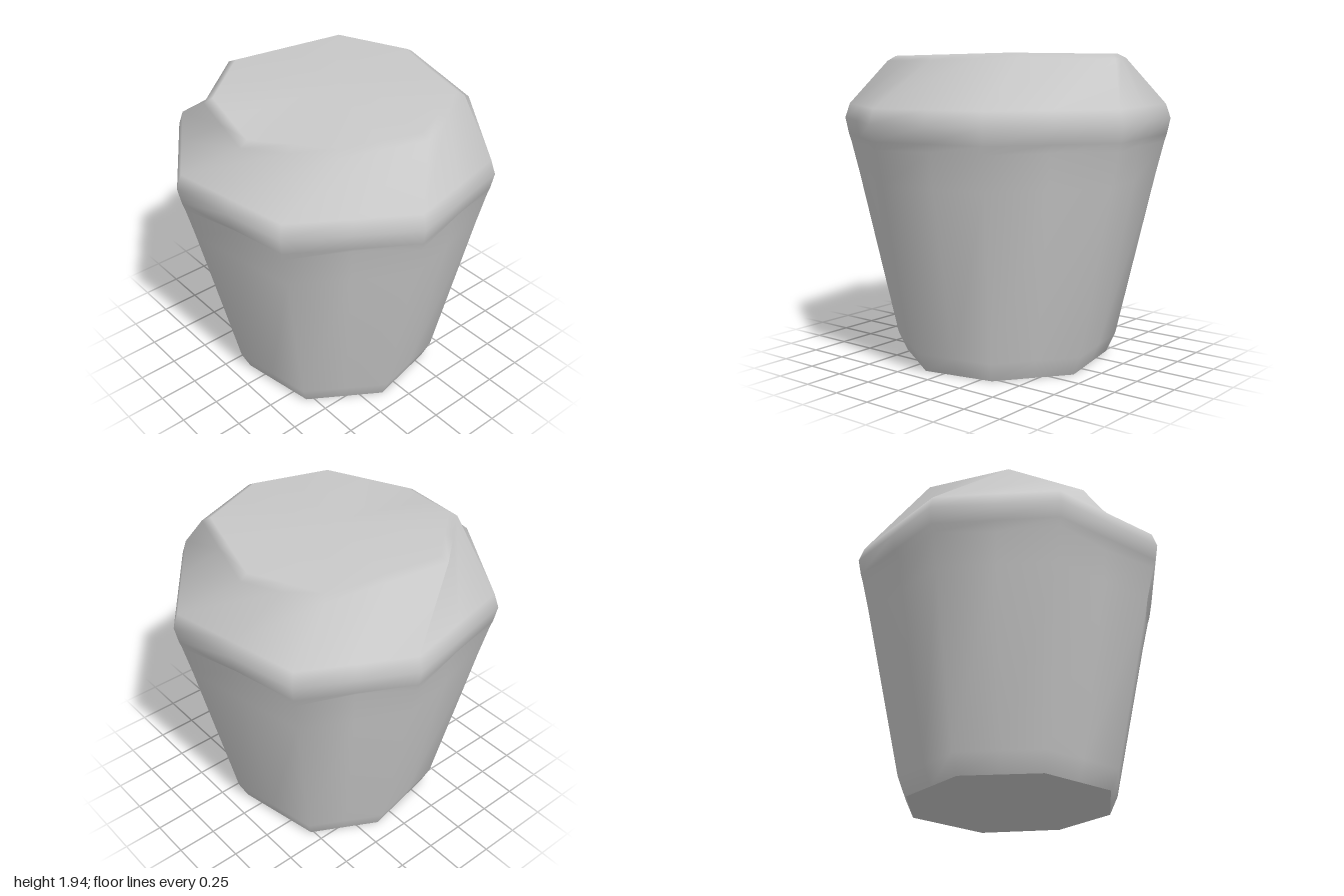
import * as THREE from 'three';

// Corner positions [x, z] of the irregular octagonal rim, and [x, z, y] of the flat top's edge
const RIM = [[1, 0.2], [0.51, 0.85], [-0.2, 1], [-0.86, 0.57], [-1, -0.21], [-0.57, -0.85], [0.2, -1], [0.82, -0.66]];
const TOP = [[0.74, -0.12, 1.9], [0.54, 0.54, 1.91], [0.04, 0.75, 1.89], [-0.46, 0.58, 1.89],
  [-0.76, 0.1, 1.85], [-0.67, -0.38, 1.9], [-0.25, -0.72, 1.91], [0.53, -0.58, 1.91]];

// Turns eight corners into a ring of sixteen points; the face midpoints may be pushed in
function ring(corners, inset = 1) {
  const points = [];
  corners.forEach((a, i) => {
    const b = corners[(i + 1) % corners.length];
    const mid = a.clone().lerp(b, 0.5);
    mid.x *= inset;
    mid.z *= inset;
    points.push(a, mid);
  });
  return points;
}

const rimRing = (scale, y, inset) => ring(RIM.map(([x, z]) => new THREE.Vector3(x * scale, y, z * scale)), inset);
const topRing = (scale, lift) => ring(TOP.map(([x, z, y]) => new THREE.Vector3(x * scale, Math.min(y + lift, 1.935), z * scale)));

// Skins a stack of rings from bottom to top, with an optional closing point
function loft(rings, tip) {
  const n = rings[0].length;
  const points = rings.flat();
  const index = [];
  for (let r = 0; r < rings.length - 1; r++) {
    for (let i = 0; i < n; i++) {
      const a = r * n + i, b = r * n + (i + 1) % n;
      index.push(a, a + n, b, b, a + n, b + n);
    }
  }
  if (tip) {
    const base = (rings.length - 1) * n;
    points.push(tip);
    for (let i = 0; i < n; i++) index.push(base + i, points.length - 1, base + (i + 1) % n);
  }
  const geometry = new THREE.BufferGeometry().setFromPoints(points);
  geometry.setIndex(index);
  geometry.computeVertexNormals();
  return geometry;
}

export function createModel() {
  const group = new THREE.Group();
  const grey = new THREE.MeshStandardMaterial({ color: 0xc8c8c8 });
  grey.name = 'grey';
  const add = (name, geometry) => {
    const mesh = new THREE.Mesh(geometry, grey);
    mesh.name = name;
    group.add(mesh);
  };

  // Tapered wall, shallow dents under the rim, sloping shoulder and flat top
  add('taperedBody', loft([
    rimRing(0.63, 0),
    rimRing(0.685, 0.12),
    rimRing(0.915, 1.17),
    rimRing(0.965, 1.38, 0.965),
    rimRing(0.98, 1.43),
    rimRing(1, 1.53),
    rimRing(0.97, 1.62),
    topRing(1, 0),
    topRing(0.93, 0.03),
  ], new THREE.Vector3(0, 1.94, 0)));

  // Flat underside
  const outline = new THREE.Shape(RIM.map(([x, z]) => new THREE.Vector2(x * 0.63, z * 0.63)));
  add('underside', new THREE.ShapeGeometry(outline).rotateX(Math.PI / 2));
  return group;
}
